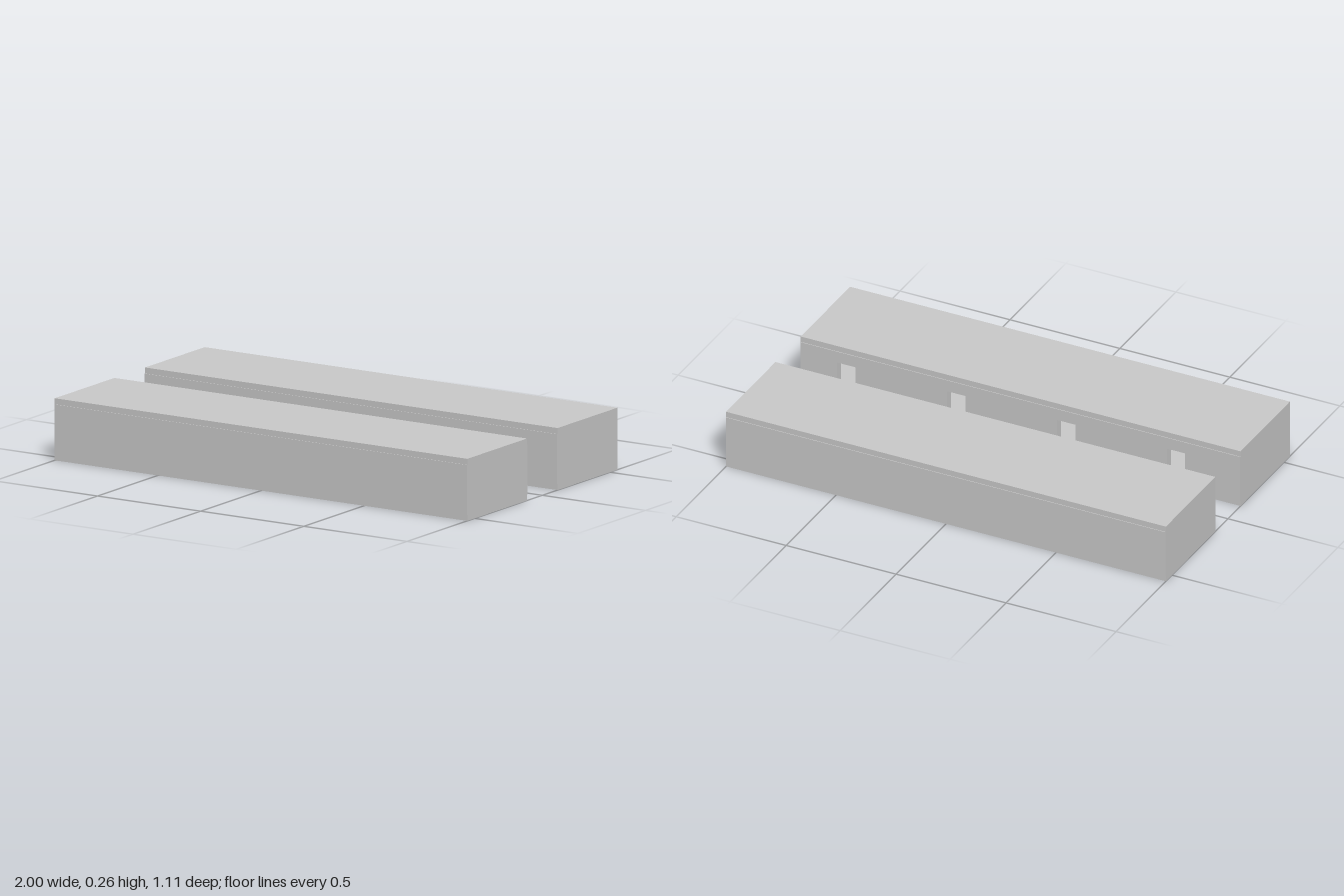
import * as THREE from 'three';

const H = 0.258, PLATE = 0.025, WALL = 0.035;
const Z_IN = 0.11, Z_OUT = 0.557, INSET = 0.003;

export function createModel() {
  const model = new THREE.Group();
  const mat = new THREE.MeshStandardMaterial({ color: 0xcccccc });

  // One hollow beam lying behind the centre, its slotted wall facing +z
  function beam(name) {
    const g = new THREE.Group();
    g.name = name;
    const zMid = -(Z_IN + Z_OUT) / 2, depth = Z_OUT - Z_IN;
    const wallH = H - 2 * PLATE;
    const box = (label, w, h, d, x, y, z) => {
      const m = new THREE.Mesh(new THREE.BoxGeometry(w, h, d), mat);
      m.name = label;
      m.position.set(x, y, z);
      g.add(m);
    };

    // Top and bottom plates, slightly narrower than the walls
    box('topPlate', 2, PLATE, depth - 2 * INSET, 0, H - PLATE / 2, zMid);
    box('bottomPlate', 2, PLATE, depth - 2 * INSET, 0, PLATE / 2, zMid);

    // Plain outer wall and end walls
    box('outerWall', 2, wallH, WALL, 0, H / 2, -Z_OUT + WALL / 2);
    for (const s of [-1, 1]) {
      box('endWall', WALL, wallH, depth - 2 * WALL, s * (1 - WALL / 2), H / 2, zMid);
    }

    // Inner wall with four openings rising from the bottom plate
    const shape = new THREE.Shape();
    shape.moveTo(-1, PLATE);
    for (let i = 0; i < 4; i++) {
      const right = -0.75 + i * 0.5, left = right - 1 / 12;
      shape.lineTo(left, PLATE);
      shape.lineTo(left, 0.182);
      shape.lineTo(right, 0.182);
      shape.lineTo(right, PLATE);
    }
    shape.lineTo(1, PLATE);
    shape.lineTo(1, H - PLATE);
    shape.lineTo(-1, H - PLATE);
    shape.closePath();
    const inner = new THREE.Mesh(
      new THREE.ExtrudeGeometry(shape, { depth: WALL, bevelEnabled: false }), mat);
    inner.name = 'slottedInnerWall';
    inner.position.z = -Z_IN - WALL;
    g.add(inner);
    return g;
  }

  // The front beam is the back beam turned half round
  const back = beam('backBeam');
  const front = beam('frontBeam');
  front.rotation.y = Math.PI;
  model.add(back, front);
  return model;
}
